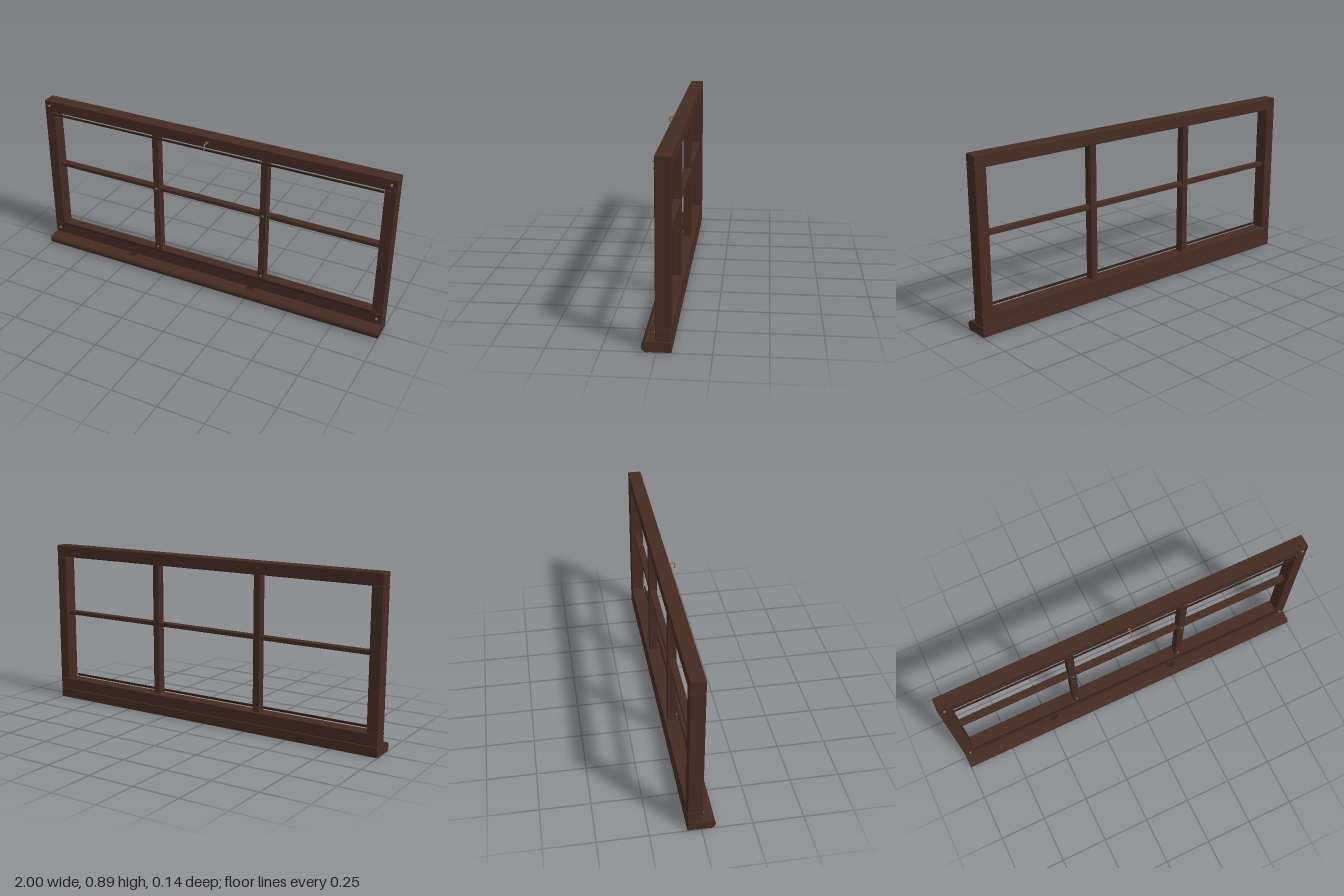
import * as THREE from 'three';
import { RoundedBoxGeometry } from 'three/addons/geometries/RoundedBoxGeometry.js';

export function createModel() {
  const group = new THREE.Group();
  const wood = new THREE.MeshStandardMaterial({ color: 0x452c22 });
  wood.name = 'dark brown wood';
  const darkWood = new THREE.MeshStandardMaterial({ color: 0x33211a });
  darkWood.name = 'deep brown wood';
  const brass = new THREE.MeshStandardMaterial({ color: 0x8a7044 });
  brass.name = 'aged brass';

  const add = (name, geometry, material, x = 0, y = 0, z = 0) => {
    const mesh = new THREE.Mesh(geometry, material);
    mesh.name = name;
    mesh.position.set(x, y, z);
    group.add(mesh);
    return mesh;
  };
  // Timber given by its extents, with softened edges
  const beam = (name, x0, x1, y0, y1, z0, z1, material = wood, r = 0.004) =>
    add(name, new RoundedBoxGeometry(x1 - x0, y1 - y0, z1 - z0, 2, r), material,
      (x0 + x1) / 2, (y0 + y1) / 2, (z0 + z1) / 2);
  const ball = (name, x, y, z, r) =>
    add(name, new THREE.SphereGeometry(r, 12, 8), brass, x, y, z);

  // Outer frame
  const back = -0.068, front = 0.005;
  beam('topRail', -1, 1, 0.833, 0.896, back, front);
  beam('bottomRail', -1, 1, 0.055, 0.118, back, front);
  for (const s of [-1, 1]) {
    beam('sidePost', s * 0.97 - 0.03, s * 0.97 + 0.03, 0.118, 0.833, back, front);
  }

  // Sill with a rounded nose
  beam('sill', -1, 1, 0.002, 0.054, back, 0.036);
  const nose = add('sillNose', new THREE.CylinderGeometry(0.0255, 0.0255, 2, 24), wood, 0, 0.0275, 0.0425);
  nose.rotation.z = Math.PI / 2;

  // Knots in the top of the sill
  for (const x of [-0.47, 0.265]) {
    const knot = add('sillKnot', new THREE.CylinderGeometry(0.028, 0.028, 0.003, 20), darkWood, x, 0.0535, 0.014);
    knot.scale.z = 0.6;
  }

  // Dividing bars
  for (const s of [-1, 1]) {
    beam('mullion', s * 0.315 - 0.019, s * 0.315 + 0.019, 0.116, 0.835, -0.053, -0.008, wood, 0.003);
  }
  beam('crossBar', -0.945, 0.945, 0.497, 0.519, -0.049, -0.012, wood, 0.003);

  // Slim beads standing just in front of the rails
  beam('topBead', -0.94, 0.94, 0.819, 0.83, 0.006, 0.014, darkWood, 0.002);
  beam('bottomBead', -0.94, 0.94, 0.121, 0.133, 0.006, 0.014, darkWood, 0.002);

  // Brass pegs at the corners and along the mullions
  for (const s of [-1, 1]) {
    for (const y of [0.087, 0.866]) ball('cornerPeg', s * 0.97, y, 0.007, 0.007);
    for (const y of [0.138, 0.508, 0.813]) ball('mullionPeg', s * 0.315, y, -0.007, 0.006);
  }

  // Hook at the middle of the top rail
  const path = new THREE.CurvePath();
  const v = (y, z) => new THREE.Vector3(0, y, z);
  path.add(new THREE.LineCurve3(v(0.865, 0.002), v(0.865, 0.034)));
  path.add(new THREE.QuadraticBezierCurve3(v(0.865, 0.034), v(0.865, 0.038), v(0.861, 0.038)));
  path.add(new THREE.LineCurve3(v(0.861, 0.038), v(0.845, 0.038)));
  add('hookStem', new THREE.TubeGeometry(path, 24, 0.0035, 8), brass);
  ball('hookTip', 0, 0.844, 0.038, 0.0055);
  const plate = add('hookPlate', new THREE.CylinderGeometry(0.007, 0.007, 0.006, 16), brass, 0, 0.865, 0.007);
  plate.rotation.x = Math.PI / 2;

  return group;
}
